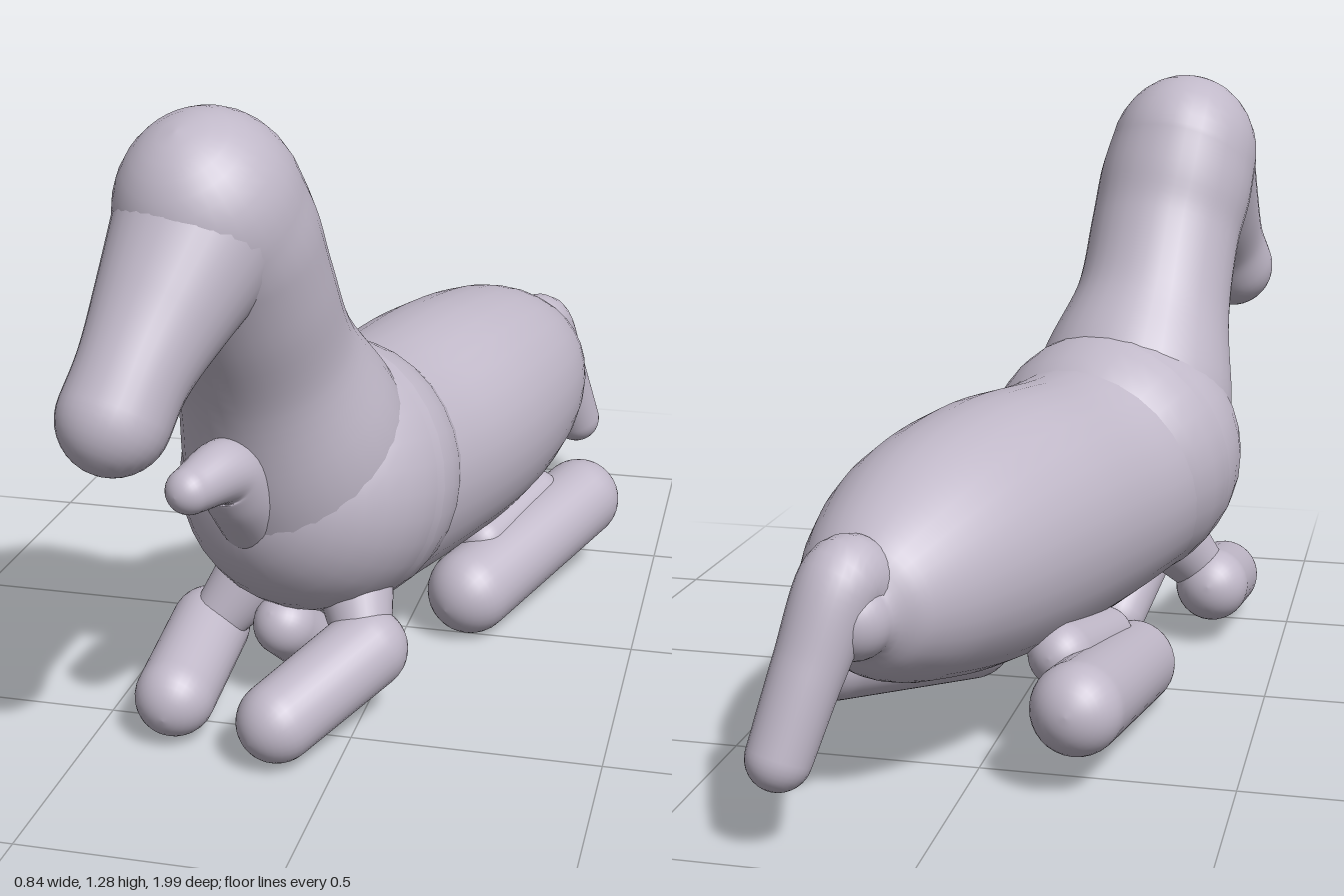
import * as THREE from 'three';

const smoothCurve = points => new THREE.CatmullRomCurve3(points, false, 'catmullrom', 0.5);

// Smooth round-ended limb: each point is [x, y, z, radius, sideways width factor = 1]
function limbGeometry(points, steps = 30, sides = 32) {
  const path = smoothCurve(points.map(p => new THREE.Vector3(p[0], p[1], p[2])));
  const sizes = smoothCurve(points.map(p => new THREE.Vector3(p[3], p[4] ?? 1, 0)));
  const capSteps = 9;
  const rings = [];
  const addRing = (t, shift, scale) => {
    const tangent = path.getTangent(t);
    const size = sizes.getPoint(t);
    const side = new THREE.Vector3(1, 0, 0).addScaledVector(tangent, -tangent.x).normalize();
    const up = new THREE.Vector3().crossVectors(tangent, side);
    const centre = path.getPoint(t).addScaledVector(tangent, shift * size.x);
    rings.push({ centre, side, up, r: size.x * scale, width: size.y });
  };
  // Hemisphere, body of the limb, hemisphere
  for (let i = 0; i < capSteps; i++) {
    const a = (i + 0.15) / capSteps * Math.PI / 2;
    addRing(0, -Math.cos(a), Math.sin(a));
  }
  for (let i = 0; i <= steps; i++) addRing(i / steps, 0, 1);
  for (let i = capSteps - 1; i >= 0; i--) {
    const a = (i + 0.15) / capSteps * Math.PI / 2;
    addRing(1, Math.cos(a), Math.sin(a));
  }
  const positions = [], index = [];
  for (const { centre, side, up, r, width } of rings) {
    for (let j = 0; j < sides; j++) {
      const a = j / sides * Math.PI * 2;
      const v = centre.clone()
        .addScaledVector(side, Math.cos(a) * r * width)
        .addScaledVector(up, Math.sin(a) * r);
      positions.push(v.x, v.y, v.z);
    }
  }
  for (let i = 0; i < rings.length - 1; i++) {
    for (let j = 0; j < sides; j++) {
      const k = (j + 1) % sides;
      const a = i * sides + j, b = i * sides + k;
      index.push(a, b, a + sides, b, b + sides, a + sides);
    }
  }
  // Close both tips
  const first = positions.length / 3, last = first + 1, end = (rings.length - 1) * sides;
  for (const ring of [rings[0], rings[rings.length - 1]]) positions.push(...ring.centre.toArray());
  for (let j = 0; j < sides; j++) {
    const k = (j + 1) % sides;
    index.push(first, k, j, last, end + j, end + k);
  }
  const geometry = new THREE.BufferGeometry();
  geometry.setAttribute('position', new THREE.Float32BufferAttribute(positions, 3));
  geometry.setIndex(index);
  geometry.computeVertexNormals();
  return geometry;
}

// Straight limb between two [x, y, z, radius] ends
const straight = (a, b) => [a, a.map((v, i) => (v + b[i]) / 2), b];

export function createModel() {
  const model = new THREE.Group();
  model.name = 'lyingHorse';
  const clay = new THREE.MeshStandardMaterial({ color: 0xc0b8c8 });
  clay.name = 'mauve grey clay';

  const parts = {
    // Trunk, neck and head
    barrel: [[-0.11, 0.43, 0.2, 0.262], [-0.05, 0.415, 0, 0.258], [0.025, 0.42, -0.25, 0.262],
      [0.083, 0.42, -0.48, 0.238], [0.12, 0.41, -0.65, 0.19], [0.14, 0.405, -0.76, 0.135],
      [0.148, 0.402, -0.81, 0.08]],
    chest: straight([-0.12, 0.455, 0.23, 0.282], [-0.128, 0.46, 0.255, 0.28]),
    neck: [[-0.14, 0.48, 0.3, 0.235], [-0.155, 0.61, 0.355, 0.222], [-0.178, 0.77, 0.44, 0.178],
      [-0.19, 0.92, 0.525, 0.172], [-0.205, 1.02, 0.575, 0.182, 0.97], [-0.217, 1.09, 0.615, 0.19, 0.9]],
    muzzle: [[-0.222, 1.07, 0.645, 0.165], [-0.26, 0.95, 0.767, 0.125],
      [-0.285, 0.865, 0.85, 0.102], [-0.305, 0.795, 0.9, 0.1]],
    tail: [[0.14, 0.43, -0.74, 0.08], [0.165, 0.465, -0.815, 0.078], [0.205, 0.33, -0.88, 0.067],
      [0.245, 0.18, -0.935, 0.06]],
    // Small curled limb on the chest
    chestLimb: [[-0.2, 0.45, 0.47, 0.07], [-0.205, 0.52, 0.53, 0.07],
      [-0.215, 0.585, 0.585, 0.064], [-0.25, 0.585, 0.69, 0.045]],
    // Folded legs
    leftFrontLeg: straight([0.01, 0.155, 0.41, 0.084], [-0.115, 0.09, 0.62, 0.08]),
    rightFrontLeg: straight([-0.34, 0.135, 0.34, 0.082], [-0.34, 0.09, 0.565, 0.08]),
    foldedShin: straight([-0.17, 0.17, 0.37, 0.065], [-0.13, 0.07, 0.265, 0.065]),
    leftHindLeg: straight([0.325, 0.175, -0.405, 0.093], [0.14, 0.097, -0.02, 0.094]),
    rightHindLeg: straight([-0.205, 0.165, -0.56, 0.09], [-0.23, 0.092, -0.1, 0.09]),
    // Short bridges where the legs join the trunk
    leftShoulderJoint: straight([0.0, 0.18, 0.4, 0.06], [-0.03, 0.26, 0.34, 0.08]),
    rightShoulderJoint: straight([-0.31, 0.17, 0.35, 0.06], [-0.25, 0.25, 0.31, 0.08]),
    leftHipJoint: straight([0.15, 0.18, -0.11, 0.055], [0.235, 0.215, -0.32, 0.055]),
    rightHipJoint: straight([-0.18, 0.17, -0.16, 0.06], [-0.14, 0.21, -0.4, 0.065]),
  };
  for (const [name, points] of Object.entries(parts)) {
    const mesh = new THREE.Mesh(limbGeometry(points), clay);
    mesh.name = name;
    model.add(mesh);
  }
  return model;
}
